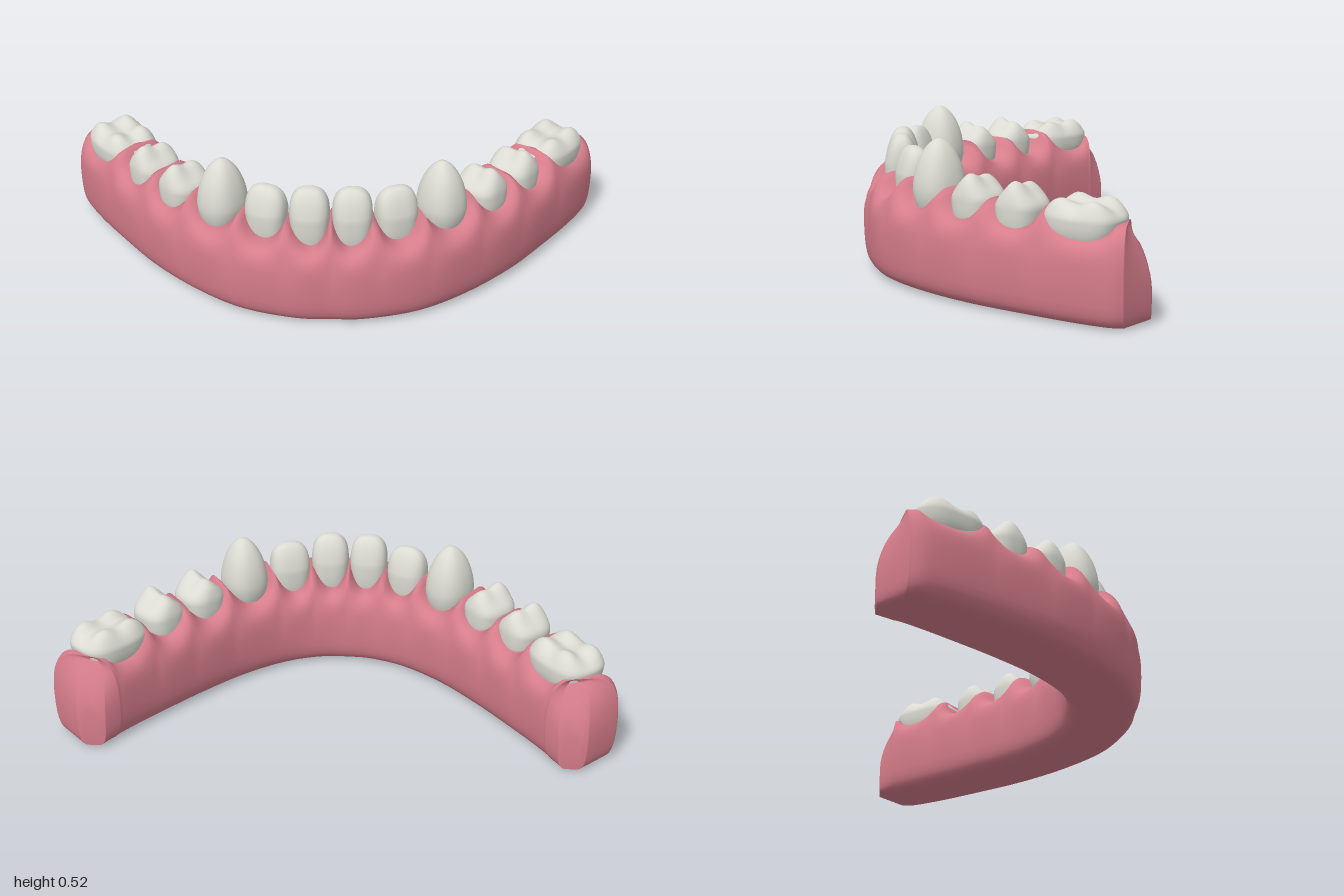
import * as THREE from 'three';

const gumMaterial = new THREE.MeshStandardMaterial({ color: 0xd67d8b });
gumMaterial.name = 'gum pink';
const toothMaterial = new THREE.MeshStandardMaterial({ color: 0xdbdbd3 });
toothMaterial.name = 'tooth ivory';

const lerp = THREE.MathUtils.lerp;

// Outer and inner outlines of the arch, with matching stations from the middle to the end
const OUTER = [[0, .478], [.13, .474], [.33, .415], [.51, .295], [.678, .135], [.823, -.05], [.927, -.195], [.997, -.315], [1.004, -.375]];
const INNER = [[0, .2], [.1, .19], [.22, .14], [.362, .032], [.495, -.11], [.608, -.245], [.688, -.345], [.738, -.412], [.75, -.43]];
const LAST = 8;

// Gum boundaries between the teeth, in stations
const GAPS = [0, 1.22, 2.16, 3.24, 4.2, 5.28, 7.2];

// Half sections of the gum (across, height): under a tooth, and between two teeth
const NECK = [[0, 0], [.42, 0], [.78, .014], [.95, .065], [1, .17], [.96, .24], [.79, .275], [.52, .288], [0, .29]];
const PAPILLA = [[0, 0], [.42, 0], [.78, .014], [.95, .065], [.98, .17], [.89, .26], [.73, .33], [.43, .375], [0, .38]];

function archCurve(half) {
  const left = half.slice(1).reverse().map(([x, z]) => new THREE.Vector2(-x, z));
  return new THREE.SplineCurve([...left, ...half.map(([x, z]) => new THREE.Vector2(x, z))]);
}

// 0 at the middle of a tooth, 1 between teeth
function papillaAt(u) {
  const s = Math.abs(u);
  const i = GAPS.findIndex((g, n) => n < GAPS.length - 1 && s >= g && s <= GAPS[n + 1]);
  if (i < 0) return .45;
  const t = 2 * (s - GAPS[i]) / (GAPS[i + 1] - GAPS[i]) - 1;
  const peak = i === GAPS.length - 2 && t > 0 ? .45 : 1;
  return peak * Math.pow(Math.abs(t), 2.2);
}

// Closed section, running from the bottom up the outer side and down the inner side
function gumSection(p, count) {
  const half = NECK.map(([k, y], i) => [lerp(k, PAPILLA[i][0], p), lerp(y, PAPILLA[i][1], p)]);
  const inner = half.slice().reverse().slice(1).map(([k, y]) => [-k, y]);
  const curve = new THREE.SplineCurve([...half, ...inner].map(([k, y]) => new THREE.Vector2(k, y)));
  return Array.from({ length: count }, (_, j) => curve.getPoint(j / count));
}

function gumGeometry() {
  const outer = archCurve(OUTER), inner = archCurve(INNER);
  const count = 56, steps = 12, rings = [];
  for (let i = -LAST * steps; i <= LAST * steps; i++) {
    const u = i / steps, t = (u + LAST) / (2 * LAST);
    const o = outer.getPoint(t), n = inner.getPoint(t);
    rings.push(gumSection(papillaAt(u), count).map(({ x: k, y }) => {
      const f = (k + 1) / 2;
      return [lerp(n.x, o.x, f), Math.max(0, y), lerp(n.y, o.y, f)];
    }));
  }
  // Narrower end faces that lean back in a convex curve
  const endZ = y => -.479 + 1.45 * Math.max(0, y - .1) ** 2;
  const endRing = side => gumSection(.45, count).map(({ x: k, y }) =>
    [side * (.847 + .05 * k), .008 + Math.max(0, y) * .93, endZ(y)]);
  const between = (a, b, f) => a.map((v, j) => v.map((c, m) => lerp(c, b[j][m], f)));
  const first = rings[0], last = rings[rings.length - 1];
  for (const f of [.06, .35, .65, .94, 1]) {
    rings.unshift(between(first, endRing(-1), f));
    rings.push(between(last, endRing(1), f));
  }
  // Fill the end faces with shrinking rings that follow the curve
  for (const f of [.6, .2]) {
    for (const side of [-1, 1]) {
      const ring = endRing(side).map(([x, y]) => {
        const h = lerp(.16, y, f);
        return [lerp(side * .847, x, f), h, endZ(h)];
      });
      if (side < 0) rings.unshift(ring);
      else rings.push(ring);
    }
  }
  const positions = rings.flat(2), index = [];
  for (let i = 0; i < rings.length - 1; i++) {
    for (let j = 0; j < count; j++) {
      const k = (j + 1) % count;
      const a = i * count + j, b = a + count, c = (i + 1) * count + k, d = i * count + k;
      index.push(a, b, c, a, c, d);
    }
  }
  // Close both ends
  const start = rings.length * count, lastBase = start - count;
  positions.push(-.847, .16, endZ(.16), .847, .16, endZ(.16));
  for (let j = 0; j < count; j++) {
    const k = (j + 1) % count;
    index.push(start, j, k, start + 1, lastBase + k, lastBase + j);
  }
  const g = new THREE.BufferGeometry();
  g.setAttribute('position', new THREE.Float32BufferAttribute(positions, 3));
  g.setIndex(index);
  g.computeVertexNormals();
  return g;
}

// Rounded block with a taper and raised cusps [along, outward, height, radius]
function toothGeometry({ size, up, down, round, square = 2.7, taper = 0, cusps = [] }) {
  const g = new THREE.SphereGeometry(1, 48, 36);
  const pos = g.attributes.position, v = new THREE.Vector3();
  for (let i = 0; i < pos.count; i++) {
    v.fromBufferAttribute(pos, i);
    const q = Math.pow(Math.abs(v.x) ** square + Math.abs(v.z) ** square, 1 / square);
    v.multiplyScalar(1 / Math.pow(q ** round + Math.abs(v.y) ** round, 1 / round));
    const w = Math.min(1, Math.max(0, v.y) * 1.5);
    let y = v.y * (v.y > 0 ? up : down);
    for (const [a, b, h, r] of cusps) {
      y += w * h * Math.exp(-((v.x - a) ** 2 + (v.z - b) ** 2) / (r * r));
    }
    const narrow = 1 - taper * Math.max(0, v.y);
    pos.setXYZ(i, v.x * size[0] * (1 - .12 * Math.max(0, -v.y)), y, v.z * size[1] * narrow);
  }
  g.computeVertexNormals();
  // Share normals across the seam
  const normal = g.attributes.normal, row = 49;
  for (let r = 0; r < 37; r++) {
    const a = r * row, b = a + row - 1;
    const n = new THREE.Vector3().fromBufferAttribute(normal, a)
      .add(new THREE.Vector3().fromBufferAttribute(normal, b)).normalize();
    normal.setXYZ(a, n.x, n.y, n.z);
    normal.setXYZ(b, n.x, n.y, n.z);
  }
  return g;
}

const premolarCusps = [[0, .52, .054, .55], [0, -.52, .042, .55]];
const molarCusps = [[-.48, .52, .038, .42], [.48, .52, .038, .42], [-.45, -.5, .04, .42], [.45, -.5, .04, .42]];

// One side of the arch, from the middle to the back
const TEETH = [
  { name: 'CentralIncisor', at: [.075, .385, .338], turn: .06, size: [.071, .063], up: .107, down: .16, round: 2.7, taper: .32 },
  { name: 'LateralIncisor', at: [.228, .37, .29], turn: .4, size: [.076, .061], up: .102, down: .15, round: 2.7, taper: .35 },
  { name: 'Canine', at: [.392, .35, .2], turn: .7, size: [.083, .09], up: .175, down: .14, round: 1.8, square: 2.4 },
  { name: 'FirstPremolar', at: [.544, .34, .067], turn: .82, size: [.081, .088], up: .042, down: .13, round: 2.6, cusps: premolarCusps },
  { name: 'SecondPremolar', at: [.671, .338, -.075], turn: .87, size: [.081, .088], up: .041, down: .13, round: 2.6, cusps: premolarCusps },
  { name: 'Molar', at: [.816, .335, -.272], turn: .92, size: [.134, .105], up: .032, down: .11, round: 2.5, square: 3, cusps: molarCusps }
];

export function createModel() {
  const model = new THREE.Group();
  model.name = 'lowerJaw';

  const gum = new THREE.Mesh(gumGeometry(), gumMaterial);
  gum.name = 'gum';
  model.add(gum);

  const teeth = new THREE.Group();
  teeth.name = 'teeth';
  for (const tooth of TEETH) {
    const geometry = toothGeometry(tooth);
    for (const side of [1, -1]) {
      const mesh = new THREE.Mesh(geometry, toothMaterial);
      mesh.name = (side > 0 ? 'left' : 'right') + tooth.name;
      mesh.position.set(side * tooth.at[0], tooth.at[1], tooth.at[2]);
      mesh.rotation.y = side * tooth.turn;
      teeth.add(mesh);
    }
  }
  model.add(teeth);
  return model;
}
